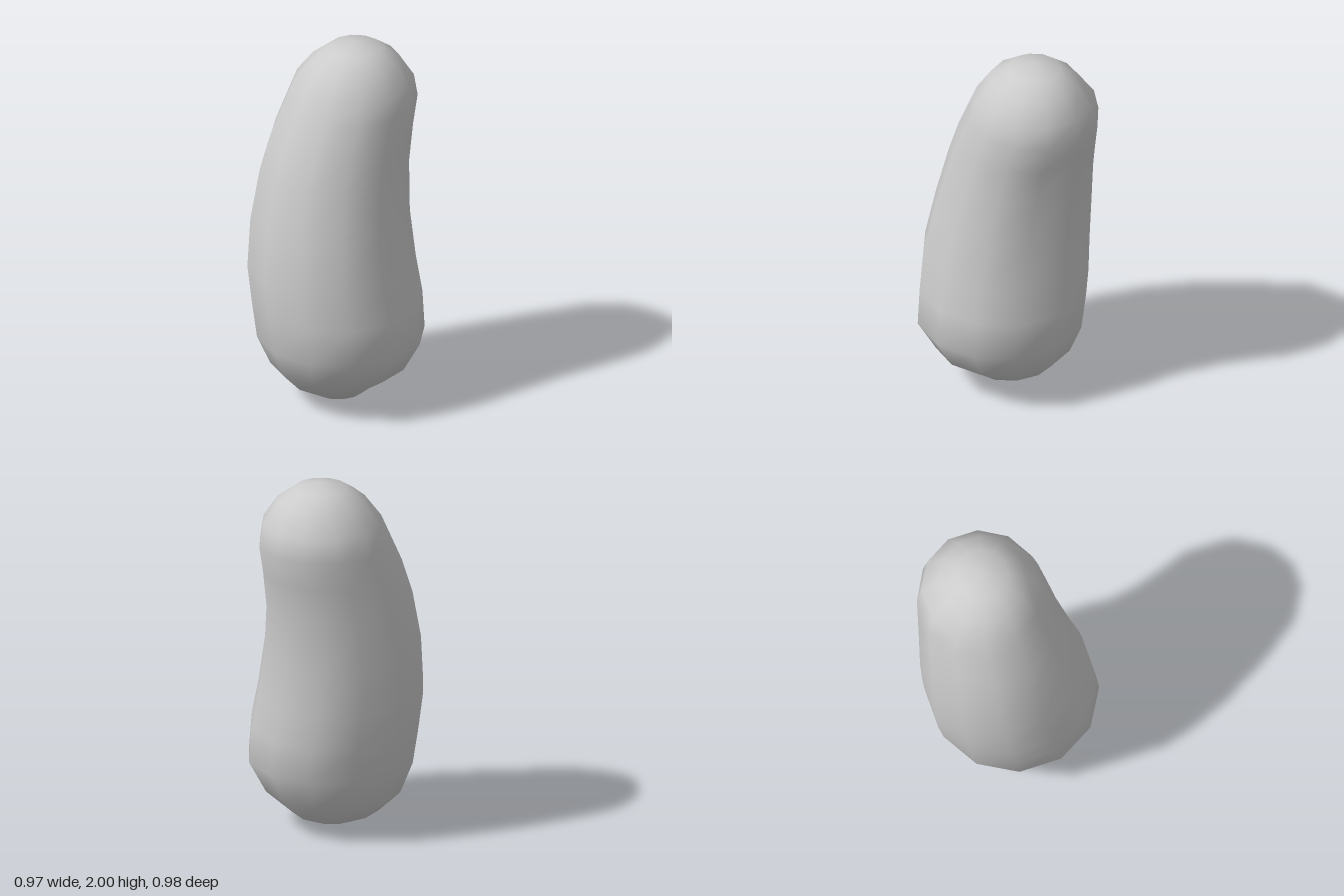
import * as THREE from 'three';

const SIDES = 12;

// Cross-sections from bottom to top: y, right x, left x, back z, front z
const SECTIONS = [
  [0.025, -0.11, 0.15, -0.11, 0.16],
  [0.08, -0.23, 0.21, -0.225, 0.27],
  [0.2, -0.36, 0.385, -0.345, 0.39],
  [0.37, -0.42, 0.485, -0.425, 0.475],
  [0.57, -0.455, 0.465, -0.43, 0.487],
  [0.77, -0.478, 0.43, -0.41, 0.495],
  [1.03, -0.488, 0.375, -0.4, 0.455],
  [1.3, -0.47, 0.325, -0.418, 0.39],
  [1.5, -0.445, 0.3, -0.452, 0.32],
  [1.66, -0.418, 0.28, -0.487, 0.245],
  [1.78, -0.385, 0.255, -0.465, 0.19],
  [1.9, -0.29, 0.175, -0.385, 0.105],
  [1.97, -0.2, 0.08, -0.285, 0.0],
];
const BOTTOM = [0.01, 0, 0.03];
const TOP = [-0.06, 2, -0.14];

function beanGeometry() {
  const positions = [];
  const index = [];

  // Elliptical rings, offset from one another to give the bend
  for (const [y, x0, x1, z0, z1] of SECTIONS) {
    for (let i = 0; i < SIDES; i++) {
      const a = (i / SIDES) * Math.PI * 2;
      positions.push(
        (x0 + x1) / 2 + ((x1 - x0) / 2) * Math.cos(a),
        y,
        (z0 + z1) / 2 + ((z1 - z0) / 2) * Math.sin(a),
      );
    }
  }
  const bottom = SECTIONS.length * SIDES;
  const top = bottom + 1;
  positions.push(...BOTTOM, ...TOP);

  // Side walls and the fans closing both ends
  const last = (SECTIONS.length - 1) * SIDES;
  for (let i = 0; i < SIDES; i++) {
    const j = (i + 1) % SIDES;
    for (let r = 0; r < last; r += SIDES) {
      const a = r + i, b = r + j, c = a + SIDES, d = b + SIDES;
      index.push(a, c, b, b, c, d);
    }
    index.push(bottom, i, j, top, last + j, last + i);
  }

  const geometry = new THREE.BufferGeometry();
  geometry.setAttribute('position', new THREE.Float32BufferAttribute(positions, 3));
  geometry.setIndex(index);
  geometry.computeVertexNormals();
  return geometry;
}

export function createModel() {
  const group = new THREE.Group();
  group.name = 'bean';

  const body = new THREE.Mesh(
    beanGeometry(),
    new THREE.MeshStandardMaterial({ color: 0xcccccc }),
  );
  body.name = 'beanBody';
  group.add(body);
  return group;
}
